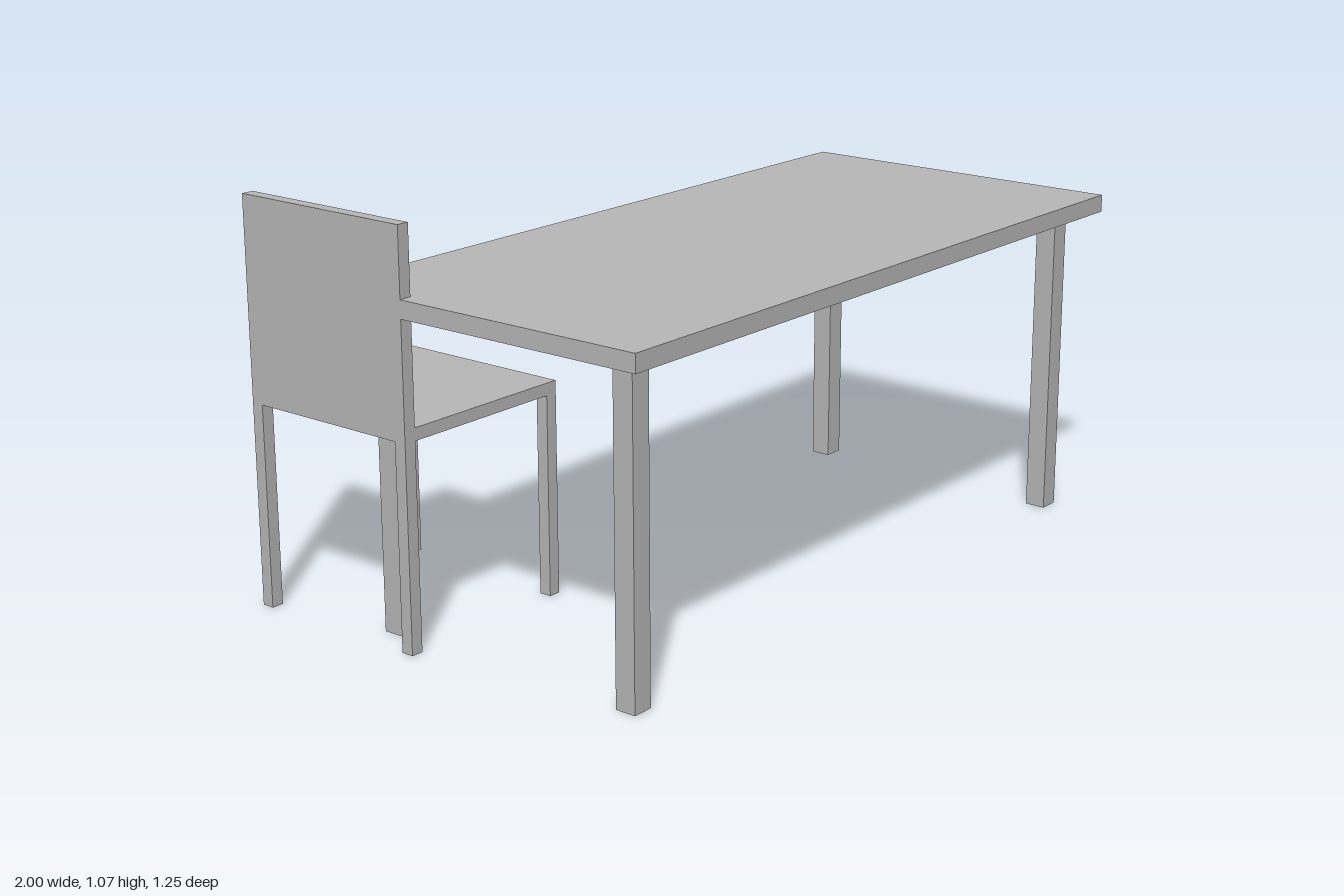
import * as THREE from 'three';

const grey = new THREE.MeshStandardMaterial({ color: 0xb8b8b8 });
grey.name = 'plain grey';

// Box given by its minimum and maximum corners
function slab(name, [x0, y0, z0], [x1, y1, z1]) {
  const mesh = new THREE.Mesh(new THREE.BoxGeometry(x1 - x0, y1 - y0, z1 - z0), grey);
  mesh.position.set((x0 + x1) / 2, (y0 + y1) / 2, (z0 + z1) / 2);
  mesh.name = name;
  return mesh;
}

// Four square legs centred on every pairing of the given x and z positions
function addLegs(group, name, xs, zs, width, height) {
  const h = width / 2;
  for (const x of xs) {
    for (const z of zs) {
      group.add(slab(name, [x - h, 0, z - h], [x + h, height, z + h]));
    }
  }
}

export function createModel() {
  const model = new THREE.Group();
  model.name = 'tableAndChair';

  // Table
  const table = new THREE.Group();
  table.name = 'table';
  table.add(slab('tableTop', [-1, 0.847, -0.325], [1, 0.894, 0.624]));
  addLegs(table, 'tableLeg', [-0.9, 0.9], [-0.225, 0.526], 0.057, 0.847);
  model.add(table);

  // Chair, facing +x, partly tucked under the table
  const chair = new THREE.Group();
  chair.name = 'chair';
  chair.add(slab('chairSeat', [-1, 0.54, -0.622], [-0.467, 0.573, -0.089]));
  chair.add(slab('chairBack', [-1, 0.573, -0.622], [-0.966, 1.073, -0.089]));
  addLegs(chair, 'chairLeg', [-0.983, -0.484], [-0.605, -0.106], 0.034, 0.54);
  model.add(chair);

  return model;
}
